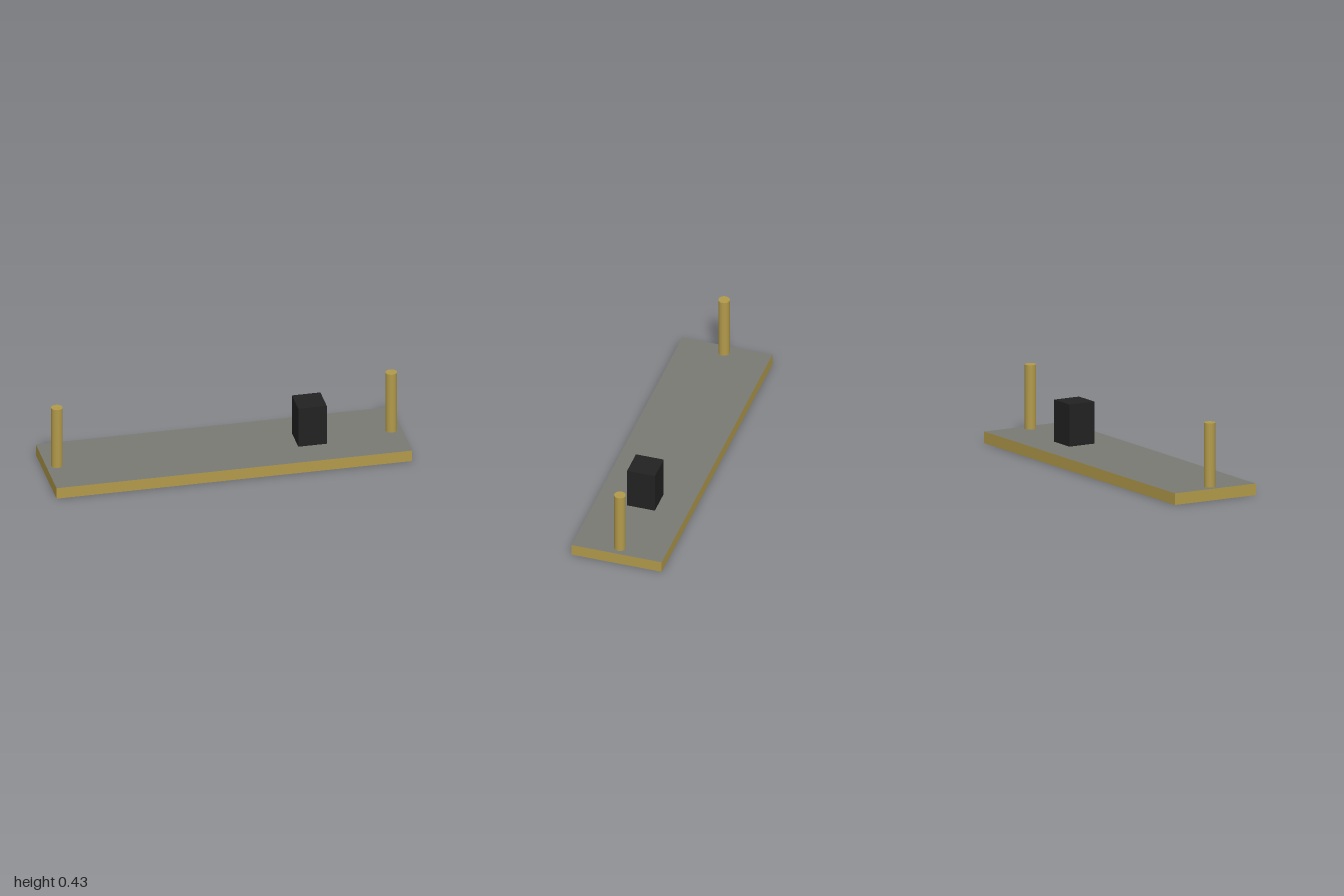
import * as THREE from 'three';

const LENGTH = 2, DEPTH = 0.52, DECK_Y = 0.065;

export function createModel() {
  const brass = new THREE.MeshStandardMaterial({ color: 0xb29a4a, side: THREE.DoubleSide });
  brass.name = 'brass';
  const grey = new THREE.MeshStandardMaterial({ color: 0x7a7a75, side: THREE.DoubleSide });
  grey.name = 'deckGrey';
  const black = new THREE.MeshStandardMaterial({ color: 0x222222 });
  black.name = 'black';

  const model = new THREE.Group();
  model.name = 'platform';
  const add = (parent, name, geometry, material, x, y, z) => {
    const mesh = new THREE.Mesh(geometry, material);
    mesh.name = name;
    mesh.position.set(x, y, z);
    parent.add(mesh);
    return mesh;
  };

  // Thin deck, open underneath
  add(model, 'deck', new THREE.PlaneGeometry(LENGTH, DEPTH).rotateX(-Math.PI / 2), grey, 0, DECK_Y, 0);

  // Thin skirt hanging from the four edges of the deck
  const skirt = new THREE.Group();
  skirt.name = 'skirt';
  model.add(skirt);
  const sides = ['skirtFront', 'skirtLeft', 'skirtBack', 'skirtRight'];
  sides.forEach((name, i) => {
    const angle = i * Math.PI / 2;
    const width = i % 2 ? DEPTH : LENGTH;
    const wall = add(skirt, name, new THREE.PlaneGeometry(width, DECK_Y), brass,
      Math.sin(angle) * LENGTH / 2, DECK_Y / 2, Math.cos(angle) * DEPTH / 2);
    wall.rotation.y = angle;
  });

  // Round post at each end
  const postHeight = 0.36;
  const postGeometry = new THREE.CylinderGeometry(0.032, 0.032, postHeight, 32);
  for (const side of [1, -1]) {
    add(model, side > 0 ? 'leftPost' : 'rightPost', postGeometry, brass, side * 0.94, DECK_Y + postHeight / 2, 0);
  }

  // Block standing on the deck
  const blockHeight = 0.236;
  add(model, 'block', new THREE.BoxGeometry(0.16, blockHeight, 0.16), black, 0.48, DECK_Y + blockHeight / 2, 0);

  return model;
}
